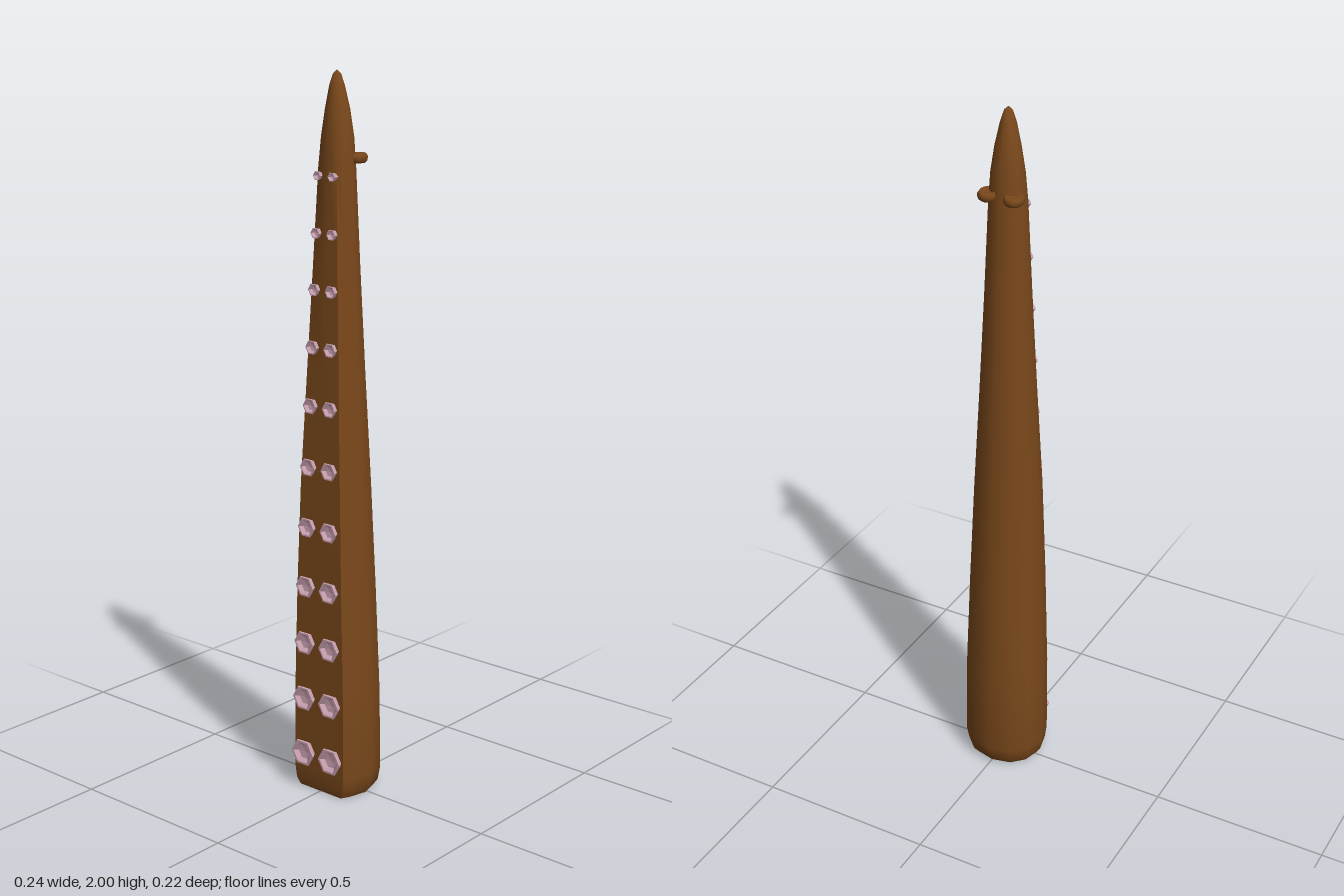
import * as THREE from 'three';
import { toCreasedNormals } from 'three/addons/utils/BufferGeometryUtils.js';

const brown = new THREE.MeshStandardMaterial({ color: 0x7a481b });
const pink = new THREE.MeshStandardMaterial({ color: 0xc9a0b0, flatShading: true });

// Rows of [height, half width, back z, front z, roundness], bottom to tip
const SECTIONS = [
  [0, 0, -0.01, -0.01, 0],
  [0, 0.1, -0.085, 0.085, 0],
  [0.02, 0.113, -0.1, 0.09, 0],
  [0.06, 0.119, -0.108, 0.092, 0],
  [0.3, 0.117, -0.103, 0.091, 0],
  [0.6, 0.106, -0.092, 0.089, 0],
  [0.9, 0.093, -0.078, 0.083, 0],
  [1.2, 0.077, -0.062, 0.073, 0.1],
  [1.5, 0.062, -0.047, 0.062, 0.25],
  [1.75, 0.051, -0.036, 0.054, 0.5],
  [1.83, 0.045, -0.031, 0.05, 0.8],
  [1.9, 0.034, -0.022, 0.043, 1],
  [1.96, 0.021, -0.008, 0.033, 1],
  [1.99, 0.011, 0.002, 0.023, 1],
  [2, 0, 0.013, 0.013, 1],
];

// Half outline from the back round to the flat front
const HALF = [[0, -1], [0.54, -0.85], [0.875, -0.45], [1, 0.1], [0.875, 0.7], [0.75, 1], [0, 1]];
const OUTLINE = [...HALF, ...HALF.slice(1, 6).reverse().map(([x, z]) => [-x, z])];

function frontAt(y) {
  const i = SECTIONS.findIndex((s) => s[0] > y);
  const a = SECTIONS[i - 1], b = SECTIONS[i];
  return THREE.MathUtils.lerp(a[3], b[3], (y - a[0]) / (b[0] - a[0]));
}

// Tapering body lofted through the sections
function bodyGeometry() {
  const n = OUTLINE.length, pos = [], index = [];
  SECTIONS.forEach(([y, w, back, front, round], row) => {
    OUTLINE.forEach(([px, pz], i) => {
      const a = (i / n) * Math.PI * 2;
      const x = THREE.MathUtils.lerp(px, Math.sin(a), round);
      const z = THREE.MathUtils.lerp(pz, -Math.cos(a), round);
      pos.push(x * w, y, (front + back) / 2 + (z * (front - back)) / 2);
      if (row === SECTIONS.length - 1) return;
      const p = row * n + i, q = row * n + ((i + 1) % n);
      index.push(p, p + n, q + n, p, q + n, q);
    });
  });
  const g = new THREE.BufferGeometry();
  g.setAttribute('position', new THREE.Float32BufferAttribute(pos, 3));
  g.setIndex(index);
  return toCreasedNormals(g, 0.87);
}

// Six-sided cup facing +z
function suckerGeometry(r, h) {
  const profile = [[0.8, -0.6], [0.84, 0.3], [1, 0.75], [0.96, 1], [0.8, 1], [0.55, 0.3], [0, 0.15]]
    .map(([x, y]) => new THREE.Vector2(x * r, y * h));
  return new THREE.LatheGeometry(profile, 6, Math.PI / 6).rotateX(Math.PI / 2);
}

export function createModel() {
  const model = new THREE.Group();
  const add = (name, geometry, material, x, y, z) => {
    const m = new THREE.Mesh(geometry, material);
    m.name = name;
    m.position.set(x, y, z);
    model.add(m);
    return m;
  };

  add('tentacleBody', bodyGeometry(), brown, 0, 0, 0);

  // Two columns of suckers, shrinking toward the tip
  const rows = [0.11, 0.275, 0.44, 0.605, 0.775, 0.945, 1.115, 1.275, 1.43, 1.58, 1.73];
  rows.forEach((y) => {
    const t = (y - 0.11) / 1.62;
    const r = THREE.MathUtils.lerp(0.041, 0.013, t);
    const h = THREE.MathUtils.lerp(0.016, 0.011, t);
    const x = THREE.MathUtils.lerp(0.049, 0.025, t);
    for (const side of [1, -1]) {
      add(side > 0 ? 'leftSucker' : 'rightSucker', suckerGeometry(r, h), pink, side * x, y, frontAt(y));
    }
  });

  // Pair of flat rounded lobes on the back near the tip
  const lobe = [[0, -0.012], [0.024, -0.012], [0.031, -0.005], [0.031, 0.006], [0.025, 0.013], [0.019, 0.009], [0, 0.007]]
    .map(([x, y]) => new THREE.Vector2(x, y));
  for (const side of [1, -1]) {
    const m = add(side > 0 ? 'leftLobe' : 'rightLobe', new THREE.LatheGeometry(lobe, 12), brown, side * 0.037, 1.773, -0.025);
    m.scale.x = 0.85;
  }
  return model;
}
